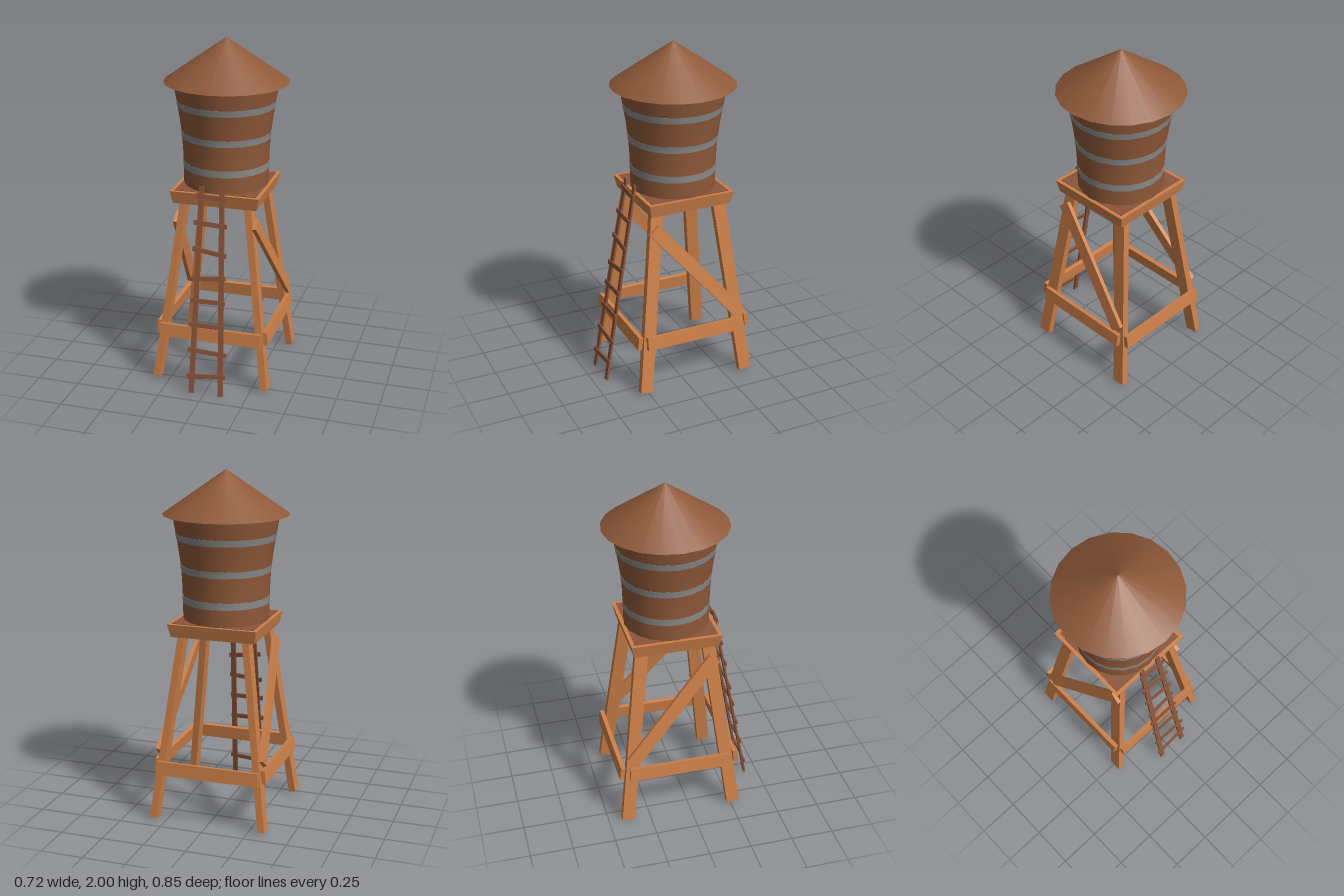
import * as THREE from 'three';

const paint = (name, color) => Object.assign(new THREE.MeshStandardMaterial({ color }), { name });

export function createModel() {
  const wood = paint('orange wood', 0xcd8049);
  const brown = paint('brown boards', 0x8f5939);
  const dark = paint('ladder wood', 0x8c553b);
  const steel = paint('grey steel', 0x8a8a8a);
  const model = new THREE.Group();
  model.name = 'waterTower';
  const tower = new THREE.Group();
  tower.name = 'tower';
  tower.position.z = -0.06;
  model.add(tower);

  const add = (parent, name, geometry, material) => {
    const mesh = new THREE.Mesh(geometry, material);
    mesh.name = name;
    parent.add(mesh);
    return mesh;
  };

  // Straight timber from a to b; its depth runs along the facing direction
  const timber = (parent, name, a, b, width, depth, facing, material) => {
    const start = new THREE.Vector3(...a), end = new THREE.Vector3(...b);
    const along = end.clone().sub(start);
    const length = along.length();
    along.normalize();
    const side = new THREE.Vector3().crossVectors(along, new THREE.Vector3(...facing)).normalize();
    const out = new THREE.Vector3().crossVectors(side, along);
    const mesh = add(parent, name, new THREE.BoxGeometry(width, length, depth), material);
    mesh.quaternion.setFromRotationMatrix(new THREE.Matrix4().makeBasis(side, along, out));
    mesh.position.copy(start).add(end).multiplyScalar(0.5);
    return mesh;
  };

  // Roof
  const roof = add(tower, 'roof', new THREE.ConeGeometry(0.36, 0.25, 20), brown);
  roof.position.y = 1.875;

  // Flared tank, cut into staves and flush hoops
  const flare = [[1.14, 0.246], [1.25, 0.248], [1.35, 0.25], [1.45, 0.257], [1.55, 0.27], [1.65, 0.287], [1.76, 0.306]];
  const radiusAt = (y) => {
    const i = Math.max(1, flare.findIndex((p) => p[0] >= y));
    const [y0, r0] = flare[i - 1], [y1, r1] = flare[i];
    return r0 + (r1 - r0) * (y - y0) / (y1 - y0);
  };
  const cuts = [1.14, 1.25, 1.29, 1.43, 1.467, 1.61, 1.647, 1.76];
  for (let i = 0; i < cuts.length - 1; i++) {
    const hoop = i % 2 === 1;
    const profile = [];
    for (let k = 0; k <= 3; k++) {
      const y = cuts[i] + (cuts[i + 1] - cuts[i]) * k / 3;
      profile.push(new THREE.Vector2(radiusAt(y) + (hoop ? 0.002 : 0), y));
    }
    add(tower, hoop ? 'tankHoop' : 'tankWall', new THREE.LatheGeometry(profile, 20), hoop ? steel : brown);
  }

  // Platform with sloping rim, deck and underside panel
  let rim = new THREE.CylinderGeometry(0.262 * Math.SQRT2, 0.246 * Math.SQRT2, 0.075, 4).toNonIndexed();
  rim.rotateY(Math.PI / 4);
  rim.computeVertexNormals();
  add(tower, 'platform', rim, wood).position.y = 1.113;
  add(tower, 'deck', new THREE.BoxGeometry(0.48, 0.006, 0.48), dark).position.y = 1.15;
  add(tower, 'platformUnderside', new THREE.BoxGeometry(0.47, 0.006, 0.47), dark).position.y = 1.075;

  // Splayed legs
  for (const sx of [-1, 1]) {
    for (const sz of [-1, 1]) {
      timber(tower, 'leg', [sx * 0.328, 0.005, sz * 0.325], [sx * 0.188, 1.09, sz * 0.193], 0.075, 0.04, [sx, 0, 0], wood);
    }
  }

  // Cross beams round the legs and one diagonal brace on each side
  for (const s of [-1, 1]) {
    timber(tower, s > 0 ? 'frontBeam' : 'backBeam', [-0.305, 0.318, s * 0.345], [0.305, 0.318, s * 0.345], 0.078, 0.026, [0, 0.12, s], wood);
    timber(tower, 'sideBeam', [s * 0.322, 0.318, -0.302], [s * 0.322, 0.318, 0.308], 0.078, 0.026, [s, 0.13, 0], wood);
    timber(tower, 'diagonalBrace', [s * 0.314, 0.395, -0.285], [s * 0.232, 0.99, 0.225], 0.078, 0.024, [s, 0.13, 0], wood);
  }

  // Crooked ladder leaning on the platform
  const ladder = new THREE.Group();
  ladder.name = 'ladder';
  model.add(ladder);
  const lean = (y) => 0.422 - y * 0.183;
  const facing = [0, 0.183, 1];
  timber(ladder, 'ladderRail', [-0.073, 0.003, lean(0)], [-0.068, 1.2, lean(1.2)], 0.03, 0.012, facing, dark);
  timber(ladder, 'ladderRail', [0.103, 0.003, lean(0)], [0.05, 1.2, lean(1.2)], 0.03, 0.012, facing, dark);
  // Rungs: left x, left y, right x, right y
  const rungs = [
    [-0.103, 0.102, 0.128, 0.124], [-0.103, 0.26, 0.128, 0.25], [-0.103, 0.408, 0.106, 0.408],
    [-0.103, 0.547, 0.103, 0.55], [-0.103, 0.672, 0.1, 0.693], [-0.103, 0.846, 0.096, 0.82],
    [-0.103, 0.995, 0.092, 0.986], [-0.094, 1.148, 0.08, 1.134],
  ];
  for (const [x0, y0, x1, y1] of rungs) {
    timber(ladder, 'rung', [x0, y0, lean(y0) + 0.009], [x1, y1, lean(y1) + 0.009], 0.026, 0.01, facing, dark);
  }
  return model;
}
